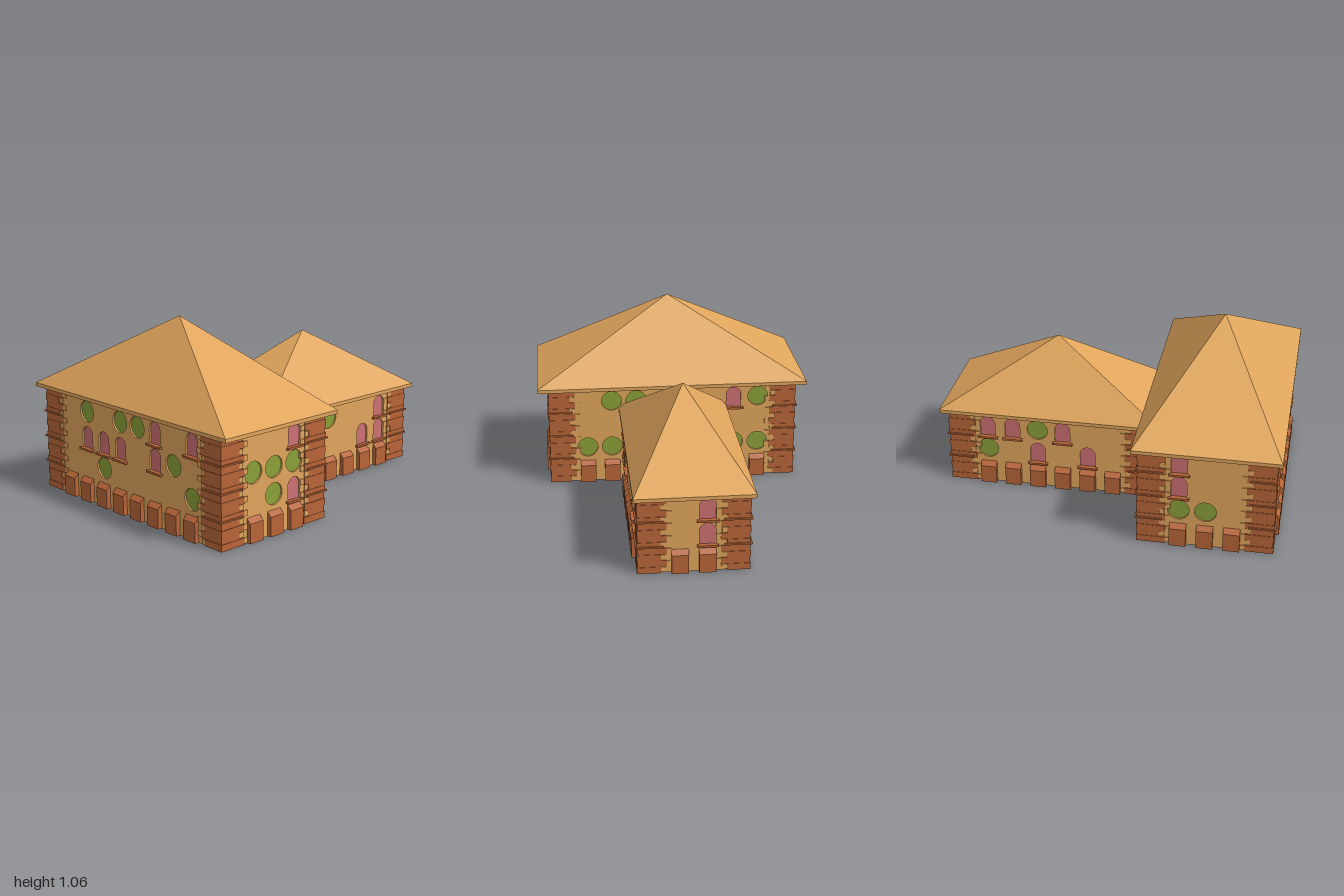
import * as THREE from 'three';

const mat = (color) => new THREE.MeshStandardMaterial({ color, flatShading: true });
const TAN = mat(0xe0a55c), BRICK = mat(0xb86538), GREEN = mat(0x8aa038), PINK = mat(0xcd7074);
const C = 0.147;        // size of one wall cell and one storey
const DEPTH = 0.018;    // depth of the window recesses

function add(parent, name, geo, material, x = 0, y = 0, z = 0) {
  const m = new THREE.Mesh(geo, material);
  m.name = name;
  m.position.set(x, y, z);
  parent.add(m);
  return m;
}
const box = (w, h, d) => new THREE.BoxGeometry(w, h, d);

// Window outlines, drawn on a shape or a hole path
function roundOutline(path, x, y) {
  path.absarc(x, y, 0.06, 0, Math.PI * 2, true);
  return path;
}
function archOutline(path, x, y) {
  const r = 0.044, base = y - 0.067, spring = y + 0.016;
  path.moveTo(x - r, base);
  path.lineTo(x - r, spring);
  path.absarc(x, spring, r, Math.PI, 0, true);
  path.lineTo(x + r, base);
  path.closePath();
  return path;
}

// Sloped-top buttress
function buttressGeometry() {
  const s = new THREE.Shape([[0, 0], [0.032, 0], [0.032, 0.108], [0.006, 0.134], [0, 0.134]]
    .map(([a, b]) => new THREE.Vector2(a, b)));
  const g = new THREE.ExtrudeGeometry(s, { depth: 0.092, bevelEnabled: false });
  g.translate(0, 0, -0.046);
  g.rotateY(-Math.PI / 2);
  return g;
}
const BUTTRESS = buttressGeometry();

// One wall: rows list the windows from the first upper storey upward,
// left to right as seen from outside (a = arched, o = round)
function facade(cells, floors, rows, skipBase = () => false) {
  const g = new THREE.Group();
  const w = cells * C, h = floors * C;
  const wall = new THREE.Shape([[-w / 2, 0], [w / 2, 0], [w / 2, h], [-w / 2, h]]
    .map(([a, b]) => new THREE.Vector2(a, b)));
  const cellX = (i) => (i + 1.5 - cells / 2) * C;
  rows.forEach((row, r) => [...row].forEach((kind, i) => {
    if (kind === '.') return;
    const x = cellX(i), y = (r + 1.5) * C;
    const outline = kind === 'a' ? archOutline : roundOutline;
    wall.holes.push(outline(new THREE.Path(), x, y));
    add(g, kind === 'a' ? 'archedPane' : 'roundPane',
      new THREE.ShapeGeometry(outline(new THREE.Shape(), x, y), 16),
      kind === 'a' ? PINK : GREEN, 0, 0, -DEPTH + 0.008);
    if (kind === 'a') add(g, 'windowSill', box(0.116, 0.012, 0.026), BRICK, x, y - 0.071, 0.004);
  }));
  add(g, 'wallPanel', new THREE.ExtrudeGeometry(wall,
    { depth: DEPTH, bevelEnabled: false, curveSegments: 16 }), TAN, 0, 0, -DEPTH);
  for (let i = 0; i < cells - 2; i++) {
    if (!skipBase(i)) add(g, 'buttress', BUTTRESS, BRICK, cellX(i), 0, -0.006);
  }
  return g;
}

// Interlocking brick courses wrapping one corner, with tan end stones and storey ledges
function cornerBricks(sx, sz, floors) {
  const g = new THREE.Group();
  const n = floors * 4, h = C / 4, t = 0.03;
  for (let i = 0; i < n; i++) {
    const long = i % 2 === 0, out = long ? 0.009 : 0.006;
    const lx = long ? 0.15 : 0.118, lz = long ? 0.118 : 0.15;
    const y = (i + 0.5) * h;
    add(g, 'brick', box(lx + out, h, t), BRICK, sx * (out - lx) / 2, y, sz * (out - t / 2));
    add(g, 'brick', box(t, h, lz + out), BRICK, sx * (out - t / 2), y, sz * (out - lz) / 2);
    add(g, 'endStone', box(0.028, h * 0.8, 0.02), TAN, -sx * (lx + 0.013), y, -sz * 0.005);
    add(g, 'endStone', box(0.02, h * 0.8, 0.028), TAN, -sx * 0.005, y, -sz * (lz + 0.013));
  }
  for (let f = 1; f < floors; f++) {
    add(g, 'cornerLedge', box(0.15, 0.009, 0.034), BRICK, -sx * 0.058, f * C + 0.009, 0);
    add(g, 'cornerLedge', box(0.034, 0.009, 0.15), BRICK, 0, f * C + 0.009, -sz * 0.058);
  }
  return g;
}

// Pyramid roof with a thin flat eave
function roof(w, d, eaveY, apexY) {
  const g = new THREE.Group();
  add(g, 'eave', box(w, 0.021, d), TAN, 0, eaveY + 0.0105, 0);
  const rise = apexY - eaveY - 0.021;
  const p = new THREE.ConeGeometry(Math.SQRT1_2, rise, 4, 1, true);
  p.rotateY(Math.PI / 4);
  p.scale(w, 1, d);
  add(g, 'roofSlopes', p, TAN, 0, eaveY + 0.021 + rise / 2, 0);
  return g;
}

// A wing: inner core, four walls, four corners and a roof
function wing(name, o) {
  const g = new THREE.Group();
  g.name = name;
  const w = o.nx * C, d = o.nz * C, h = o.floors * C;
  add(g, 'core', box(w - DEPTH * 2 + 0.01, h, d - DEPTH * 2 + 0.01), TAN, 0, h / 2, 0);
  const sides = [
    ['frontWall', o.nx, 0, 0, d / 2, 0, o.front],
    ['leftWall', o.nz, w / 2, 0, 0, Math.PI / 2, o.plusX],
    ['backWall', o.nx, 0, 0, -d / 2, Math.PI, o.back],
    ['rightWall', o.nz, -w / 2, 0, 0, -Math.PI / 2, o.minusX],
  ];
  for (const [wallName, cells, x, y, z, turn, rows] of sides) {
    if (!rows) continue;
    const f = facade(cells, o.floors, rows, wallName === 'leftWall' ? o.skipBase : undefined);
    f.name = wallName;
    f.position.set(x, y, z);
    f.rotation.y = turn;
    g.add(f);
  }
  for (const sx of [-1, 1]) for (const sz of [-1, 1]) {
    const c = cornerBricks(sx, sz, o.floors);
    c.name = 'cornerBricks';
    c.position.set(sx * w / 2, 0, sz * d / 2);
    g.add(c);
  }
  const r = roof(o.roofW, o.roofD, h, o.apex);
  r.name = 'roof';
  g.add(r);
  g.position.x = o.x;
  return g;
}

export function createModel() {
  const model = new THREE.Group();
  model.name = 'house';
  model.add(wing('tallWing', {
    x: -0.6, nx: 5, nz: 10, floors: 4, roofW: 0.8, roofD: 1.61, apex: 1.057,
    front: ['.oa', 'ooo', '..a'],
    plusX: ['oo....oo', '........', '.oo...ao'],
    back: ['oo.', 'a..', 'a..'],
    minusX: ['..o....o', '.aaa.ao.', '.o.ooa.a'],
    skipBase: (i) => i > 1 && i < 6,
  }));
  model.add(wing('lowWing', {
    x: 0.355, nx: 8, nz: 4, floors: 3, roofW: 1.29, roofD: 0.645, apex: 0.843,
    front: ['a...aa', 'a.o..a'],
    plusX: ['.a', '.a'],
    back: ['o.a.a.', 'aaoa..'],
  }));
  return model;
}
